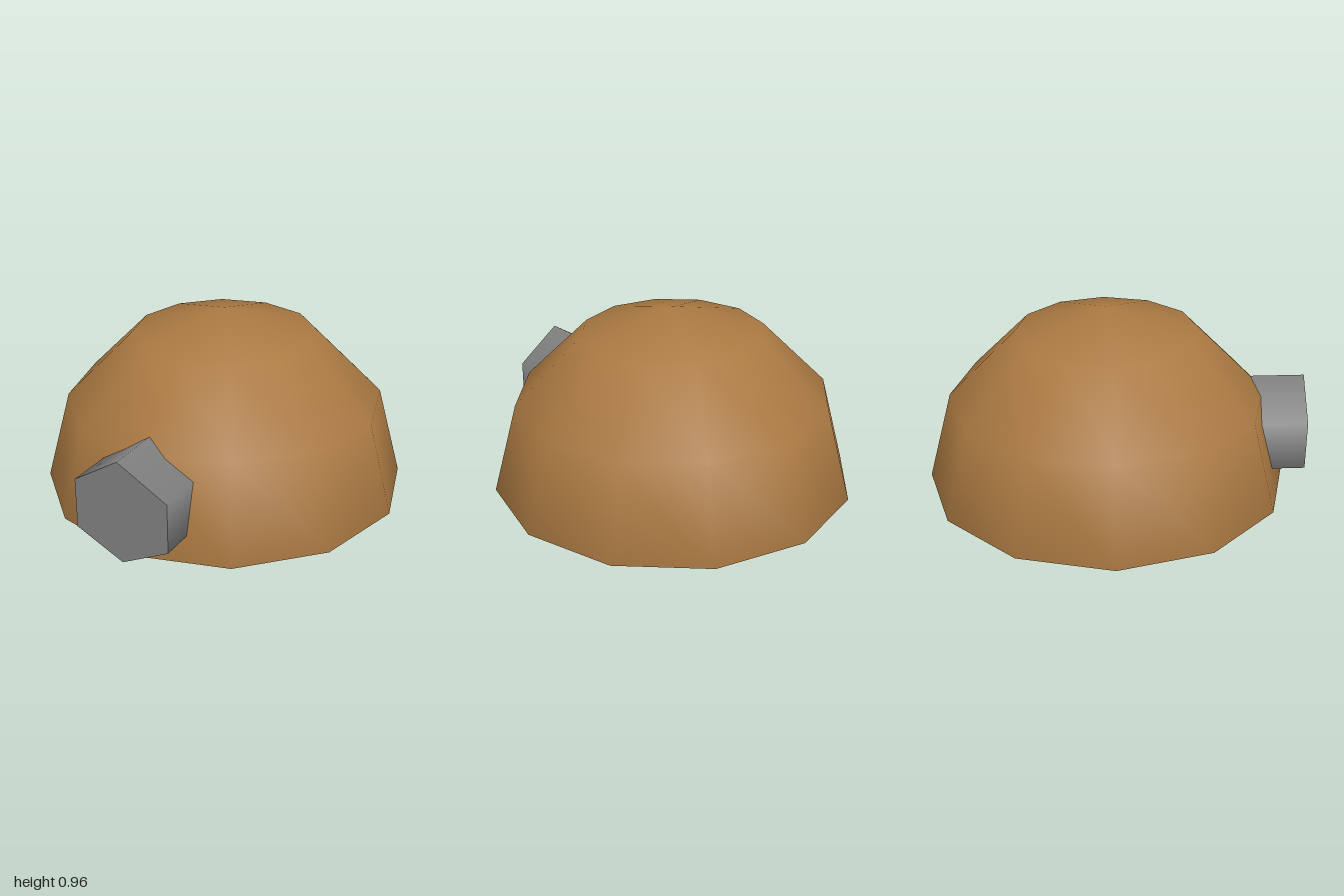
import * as THREE from 'three';

export function createModel() {
  const model = new THREE.Group();
  const brown = new THREE.MeshStandardMaterial({ name: 'brown', color: 0xaa7942 });
  const grey = new THREE.MeshStandardMaterial({ name: 'grey', color: 0x808080 });

  const add = (name, geometry, material, z) => {
    const mesh = new THREE.Mesh(geometry, material);
    mesh.name = name;
    mesh.position.z = z;
    model.add(mesh);
  };

  // Twelve-sided half sphere, closed underneath
  const radius = 0.957, domeZ = -0.043;
  add('dome', new THREE.SphereGeometry(radius, 12, 3, 0, Math.PI * 2, 0, Math.PI / 2), brown, domeZ);
  add('domeBase', new THREE.CircleGeometry(radius, 12).rotateX(Math.PI / 2), brown, domeZ);

  // Six-sided door block running into the dome
  const back = 0.6, front = 0.983;
  const door = new THREE.CylinderGeometry(0.292, 0.292, front - back, 6).rotateX(Math.PI / 2);
  const p = door.attributes.position;
  for (let i = 0; i < p.count; i++) {
    const x = p.getX(i), y = p.getY(i);
    let newY = 0.275; // cap centre
    if (Math.abs(x) > 0.1) newY = 0.257 + Math.sign(y) * 0.129;
    else if (y > 0.1) newY = 0.55;
    else if (y < -0.1) newY = 0.002;
    p.setY(i, newY);
    // The top front corner leans slightly forward
    if (newY === 0.55 && p.getZ(i) > 0) p.setZ(i, p.getZ(i) + 0.017);
  }
  add('door', door, grey, (front + back) / 2);

  return model;
}
